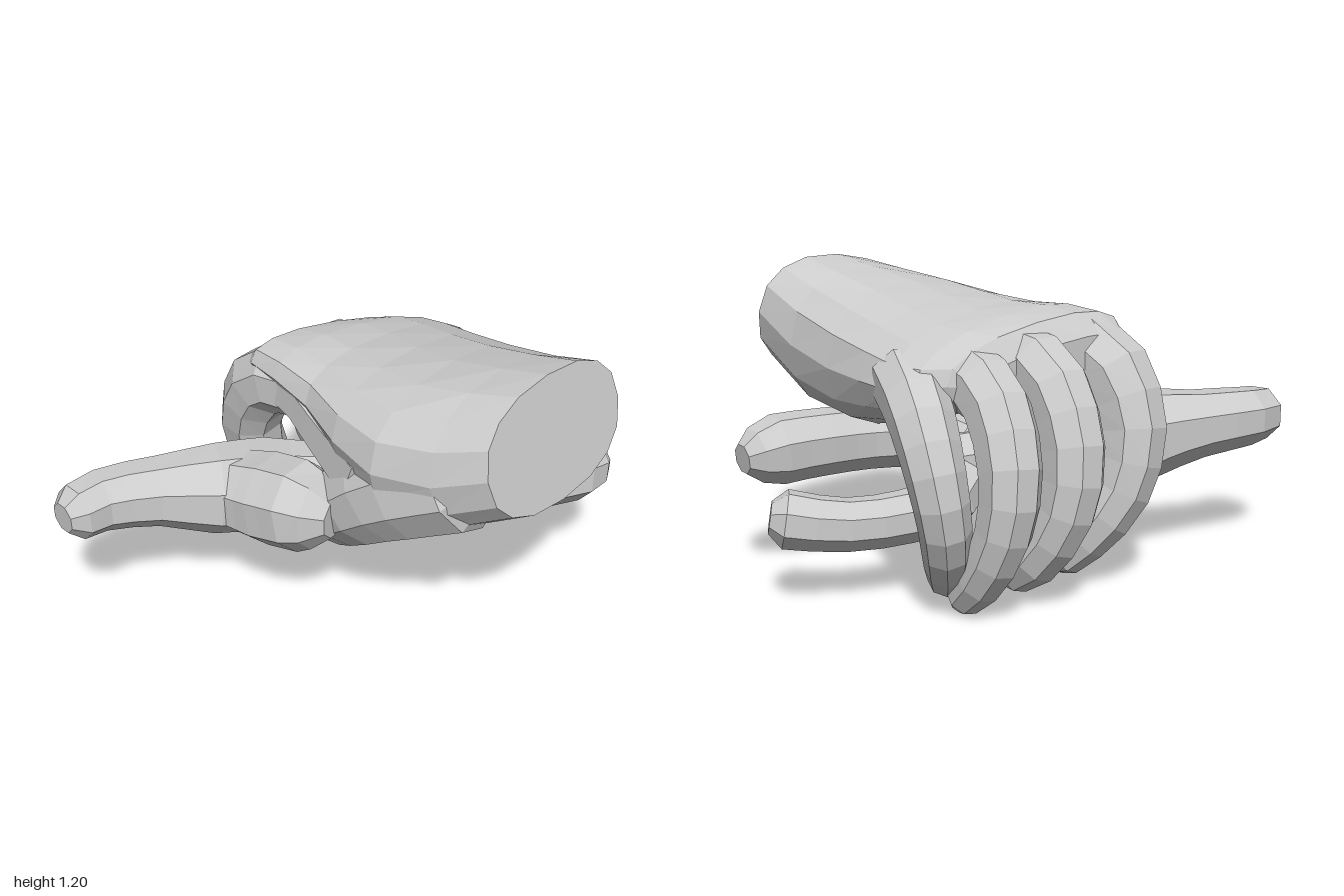
import * as THREE from 'three';

const material = new THREE.MeshStandardMaterial({ color: 0xcccccc, flatShading: true });

// Skin a list of rings (arrays of Vector3) and close both ends
function loft(name, rings) {
  const n = rings[0].length, pos = [], index = [];
  rings.forEach(r => r.forEach(p => pos.push(p.x, p.y, p.z)));
  for (let i = 0; i < rings.length - 1; i++) {
    for (let j = 0; j < n; j++) {
      const a = i * n + j, b = i * n + (j + 1) % n;
      index.push(a, b, a + n, b, b + n, a + n);
    }
  }
  [0, rings.length - 1].forEach((r, end) => {
    const c = new THREE.Vector3();
    rings[r].forEach(p => c.addScaledVector(p, 1 / n));
    const k = pos.length / 3;
    pos.push(c.x, c.y, c.z);
    for (let j = 0; j < n; j++) {
      const a = r * n + j, b = r * n + (j + 1) % n;
      if (end) index.push(a, b, k);
      else index.push(b, a, k);
    }
  });
  const geo = new THREE.BufferGeometry();
  geo.setAttribute('position', new THREE.Float32BufferAttribute(pos, 3));
  geo.setIndex(index);
  geo.computeVertexNormals();
  const mesh = new THREE.Mesh(geo, material);
  mesh.name = name;
  return mesh;
}

// Tapered limb with blunt rounded ends; each point is [x, y, z, radius]
function limb(name, points, sides = 8) {
  const curve = new THREE.CatmullRomCurve3(points.map(p => new THREE.Vector3(p[0], p[1], p[2])));
  const steps = (points.length - 1) * 2;
  const frames = curve.computeFrenetFrames(steps, false);
  const rings = [];
  const addRing = (i, scale, push) => {
    const u = i / steps, t = curve.getUtoTmapping(u) * (points.length - 1);
    const k = Math.min(Math.floor(t), points.length - 2);
    const radius = THREE.MathUtils.lerp(points[k][3], points[k + 1][3], t - k);
    const centre = curve.getPointAt(u).addScaledVector(frames.tangents[i], push * radius);
    rings.push(Array.from({ length: sides }, (_, j) => {
      const a = (j + 0.5) / sides * Math.PI * 2;
      return centre.clone()
        .addScaledVector(frames.normals[i], Math.cos(a) * radius * scale)
        .addScaledVector(frames.binormals[i], Math.sin(a) * radius * scale);
    }));
  };
  addRing(0, 0.55, -0.5);
  for (let i = 0; i <= steps; i++) addRing(i, 1, 0);
  addRing(steps, 0.55, 0.5);
  return loft(name, rings);
}

// Palm and wrist: sections [x, bottom, top, back z, front z, tilt, lean, skew]
function palm() {
  const sections = [
    [0.765, 0.71, 1.195, -0.50, 0.22, -0.08, 0.055, 0.035],
    [0.55, 0.57, 1.155, -0.55, 0.29, -0.03, 0.03, 0.02],
    [0.30, 0.55, 1.11, -0.62, 0.35, 0.02, 0, 0],
    [0.08, 0.61, 1.07, -0.68, 0.31, 0.07, 0, 0],
    [-0.12, 0.67, 1.04, -0.73, 0.23, 0.12, 0, 0.01],
    [-0.27, 0.72, 1.03, -0.72, 0.20, 0.15, 0, 0.05],
    [-0.39, 0.76, 1.01, -0.64, 0.17, 0.16, 0, 0.09],
    [-0.46, 0.80, 0.93, -0.55, 0.12, 0.16, 0, 0.09]
  ];
  const round = v => Math.sign(v) * Math.pow(Math.abs(v), 0.85);
  return loft('palm', sections.map(([x, y0, y1, z0, z1, tilt, lean, skew]) =>
    Array.from({ length: 16 }, (_, j) => {
      const a = j / 16 * Math.PI * 2, c = round(Math.cos(a)), s = round(Math.sin(a));
      const dz = c * (z1 - z0) / 2;
      return new THREE.Vector3(x - lean * s - skew * c,
        (y0 + y1) / 2 + s * (y1 - y0) / 2 + dz * tilt, (z0 + z1) / 2 + dz);
    })));
}

export function createModel() {
  const model = new THREE.Group();

  const hand = new THREE.Group();
  hand.name = 'hand';
  hand.add(
    palm(),
    limb('indexFinger', [[-0.2, 0.87, 0.04, 0.15], [-0.47, 0.85, 0.06, 0.155], [-0.62, 0.62, 0.05, 0.135],
      [-0.61, 0.38, 0, 0.12], [-0.53, 0.22, -0.07, 0.105], [-0.43, 0.10, -0.12, 0.08]]),
    limb('middleFinger', [[-0.2, 0.88, -0.23, 0.13], [-0.47, 0.83, -0.28, 0.13], [-0.62, 0.59, -0.33, 0.12],
      [-0.61, 0.36, -0.36, 0.11], [-0.50, 0.18, -0.38, 0.1], [-0.40, 0.10, -0.38, 0.08]]),
    limb('ringFinger', [[-0.15, 0.86, -0.44, 0.13], [-0.41, 0.77, -0.52, 0.125], [-0.54, 0.55, -0.59, 0.115],
      [-0.53, 0.34, -0.61, 0.105], [-0.44, 0.16, -0.61, 0.095], [-0.34, 0.05, -0.60, 0.07]]),
    limb('littleFinger', [[-0.05, 0.82, -0.58, 0.13], [-0.25, 0.72, -0.72, 0.12], [-0.36, 0.53, -0.77, 0.105],
      [-0.38, 0.36, -0.75, 0.095], [-0.33, 0.20, -0.68, 0.085], [-0.27, 0.11, -0.61, 0.07]]),
    limb('thumb', [[0.48, 0.80, 0.05, 0.25], [0.24, 0.67, 0.12, 0.235], [0.05, 0.52, 0.14, 0.195],
      [-0.13, 0.35, 0.07, 0.14], [-0.28, 0.23, -0.05, 0.11], [-0.37, 0.18, -0.18, 0.085]], 10),
    limb('thumbWeb', [[0.16, 0.72, 0.12, 0.21], [-0.05, 0.80, 0.11, 0.16], [-0.22, 0.86, 0.08, 0.14],
      [-0.38, 0.87, 0.06, 0.13]])
  );

  // Forked stick held in the grip
  const stick = new THREE.Group();
  stick.name = 'forkedStick';
  stick.add(
    limb('handle', [[-0.70, 0.53, 0.935, 0.115], [-0.69, 0.53, 0.82, 0.125], [-0.59, 0.52, 0.63, 0.14],
      [-0.44, 0.49, 0.41, 0.19], [-0.37, 0.45, 0.22, 0.19], [-0.17, 0.45, 0, 0.14], [0.02, 0.42, -0.18, 0.13]]),
    limb('sideStub', [[-0.44, 0.48, 0.38, 0.16], [-0.22, 0.50, 0.34, 0.19], [-0.05, 0.53, 0.33, 0.185],
      [0.01, 0.53, 0.32, 0.155]]),
    limb('outerProng', [[0, 0.45, -0.12, 0.13], [0.22, 0.485, -0.12, 0.13], [0.38, 0.49, -0.28, 0.13],
      [0.48, 0.49, -0.5, 0.135], [0.55, 0.48, -0.67, 0.14], [0.57, 0.47, -0.75, 0.11]]),
    limb('innerProng', [[0.02, 0.40, -0.15, 0.12], [-0.06, 0.31, -0.34, 0.11], [-0.02, 0.29, -0.6, 0.10],
      [0.09, 0.29, -0.79, 0.10], [0.22, 0.32, -0.93, 0.11]])
  );

  model.add(hand, stick);
  return model;
}
